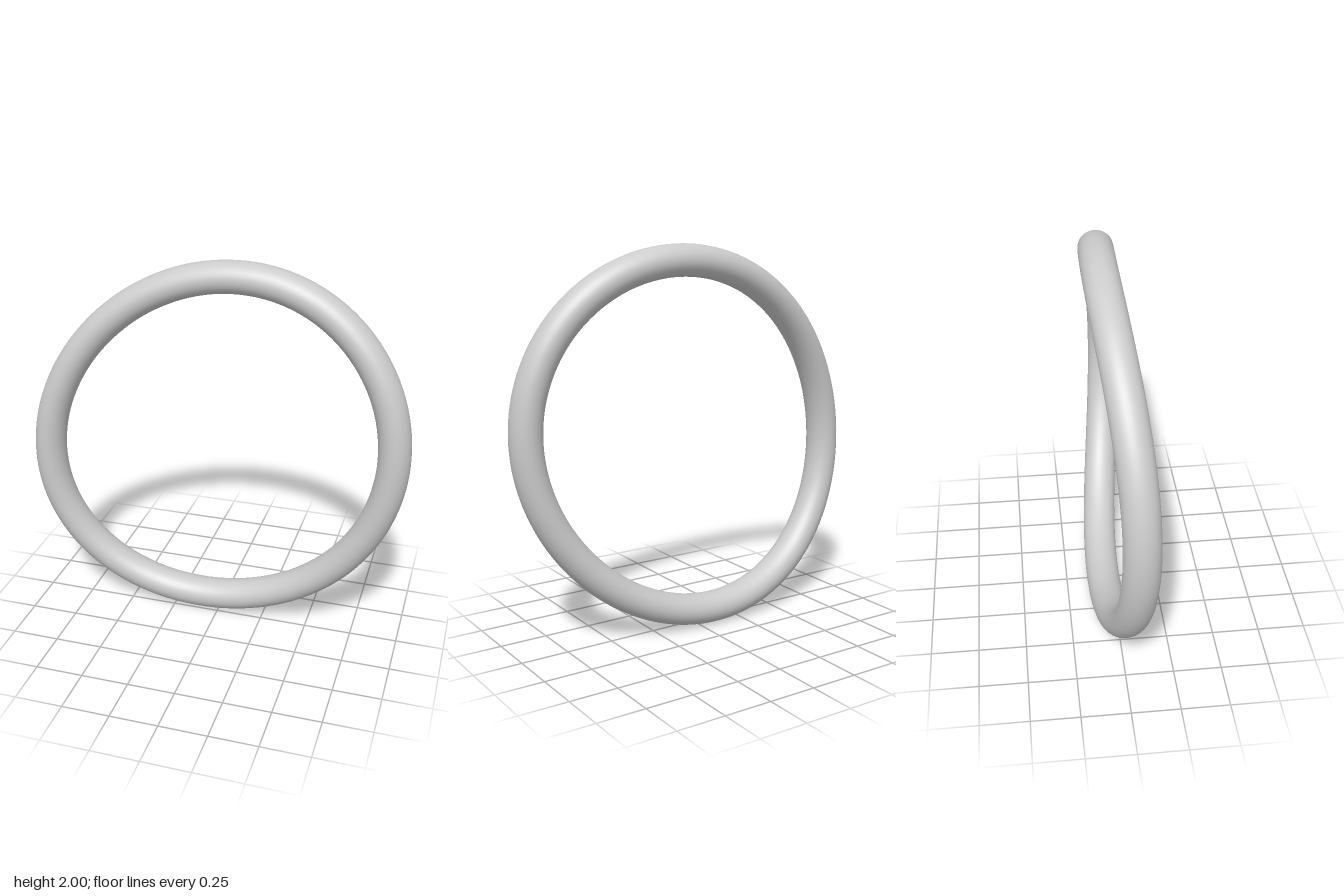
import * as THREE from 'three';

const SEGMENTS = 160, SIDES = 32;
const REACH = 0.9185;               // centre line extent along x and y
const PHASE = Math.acos(0.109);     // skews the circle into a diagonal oval
const BEND = 0.06;                  // saddle bend of the ring
const HALF_WIDTH = 0.0815, HALF_DEPTH = 0.09; // oval cross-section

// Centre line: a diagonal oval lying on a shallow saddle
function centre(t) {
  const x = REACH * Math.cos(t), y = REACH * Math.cos(t - PHASE);
  return new THREE.Vector3(x, y, BEND * (x * x - y * y));
}

function ringGeometry() {
  const positions = [], indices = [];
  const forward = new THREE.Vector3(0, 0, 1);
  for (let i = 0; i < SEGMENTS; i++) {
    const t = (i / SEGMENTS) * Math.PI * 2;
    const p = centre(t);
    const tangent = centre(t + 0.001).sub(centre(t - 0.001)).normalize();
    const outward = tangent.clone().cross(forward).normalize();
    const across = outward.clone().cross(tangent);
    const nextRow = (i + 1) % SEGMENTS;
    for (let j = 0; j < SIDES; j++) {
      const a = (j / SIDES) * Math.PI * 2;
      const v = p.clone()
        .addScaledVector(outward, HALF_WIDTH * Math.cos(a))
        .addScaledVector(across, HALF_DEPTH * Math.sin(a));
      positions.push(v.x, v.y + 1, v.z);
      // Wrapped indices close the ring both ways without a seam
      const k = (j + 1) % SIDES;
      const p00 = i * SIDES + j, p01 = i * SIDES + k;
      const p10 = nextRow * SIDES + j, p11 = nextRow * SIDES + k;
      indices.push(p00, p10, p11, p00, p11, p01);
    }
  }
  const geometry = new THREE.BufferGeometry();
  geometry.setAttribute('position', new THREE.Float32BufferAttribute(positions, 3));
  geometry.setIndex(indices);
  geometry.computeVertexNormals();
  return geometry;
}

export function createModel() {
  const group = new THREE.Group();
  const ring = new THREE.Mesh(ringGeometry(), new THREE.MeshStandardMaterial({ color: 0xcccccc }));
  ring.name = 'ring';
  group.add(ring);
  return group;
}
